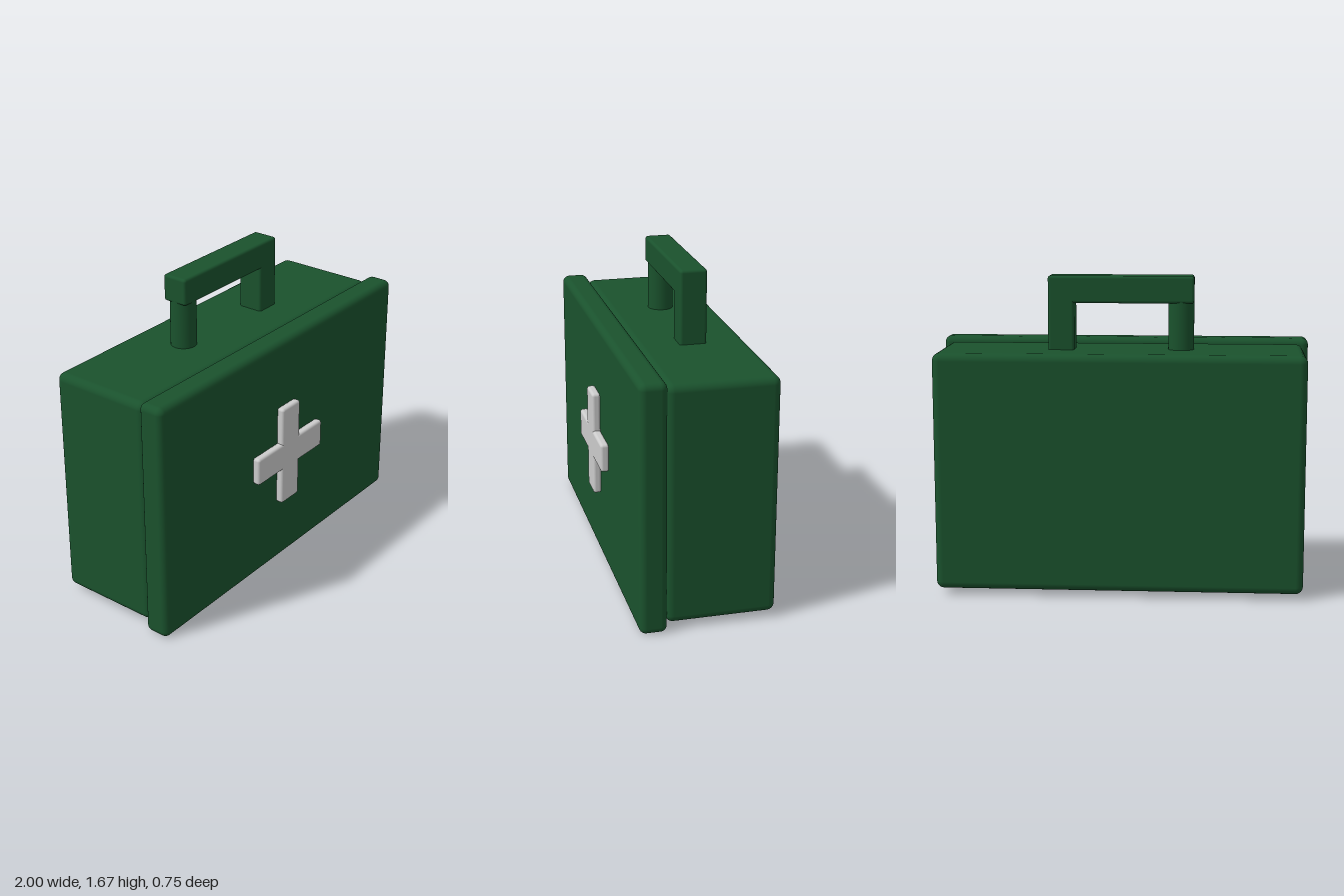
import * as THREE from 'three';
import { RoundedBoxGeometry } from 'three/addons/geometries/RoundedBoxGeometry.js';

const green = new THREE.MeshStandardMaterial({ color: 0x1a522d });
const grey = new THREE.MeshStandardMaterial({ color: 0xcccccc });

// Rounded box given by its min and max corners
function block(name, min, max, radius, material = green) {
  const size = max.map((v, i) => v - min[i]);
  const mesh = new THREE.Mesh(new RoundedBoxGeometry(...size, 4, radius), material);
  mesh.position.set(...max.map((v, i) => (v + min[i]) / 2));
  mesh.name = name;
  return mesh;
}

export function createModel() {
  const model = new THREE.Group();
  model.name = 'firstAidCase';

  // Case body and the slightly larger lid on its front
  model.add(block('body', [-0.967, 0.03, -0.375], [0.967, 1.285, 0.193], 0.04));
  model.add(block('lid', [-1, 0, 0.192], [1, 1.312, 0.333], 0.035));

  // Carrying handle: grip, square post and round post
  const handle = new THREE.Group();
  handle.name = 'handle';
  handle.add(block('grip', [-0.383, 1.53, -0.163], [0.383, 1.673, -0.022], 0.015));
  handle.add(block('squarePost', [0.245, 1.25, -0.163], [0.383, 1.673, -0.022], 0.015));
  const roundPost = new THREE.Mesh(new THREE.CylinderGeometry(0.068, 0.068, 0.31, 32), green);
  roundPost.name = 'roundPost';
  roundPost.position.set(-0.315, 1.405, -0.0925);
  handle.add(roundPost);
  model.add(handle);

  // Raised cross on the lid
  const cross = new THREE.Group();
  cross.name = 'cross';
  cross.add(block('crossUpright', [-0.076, 0.375, 0.33], [0.076, 0.945, 0.375], 0.015, grey));
  cross.add(block('crossBar', [-0.283, 0.583, 0.33], [0.283, 0.737, 0.375], 0.015, grey));
  model.add(cross);

  return model;
}
